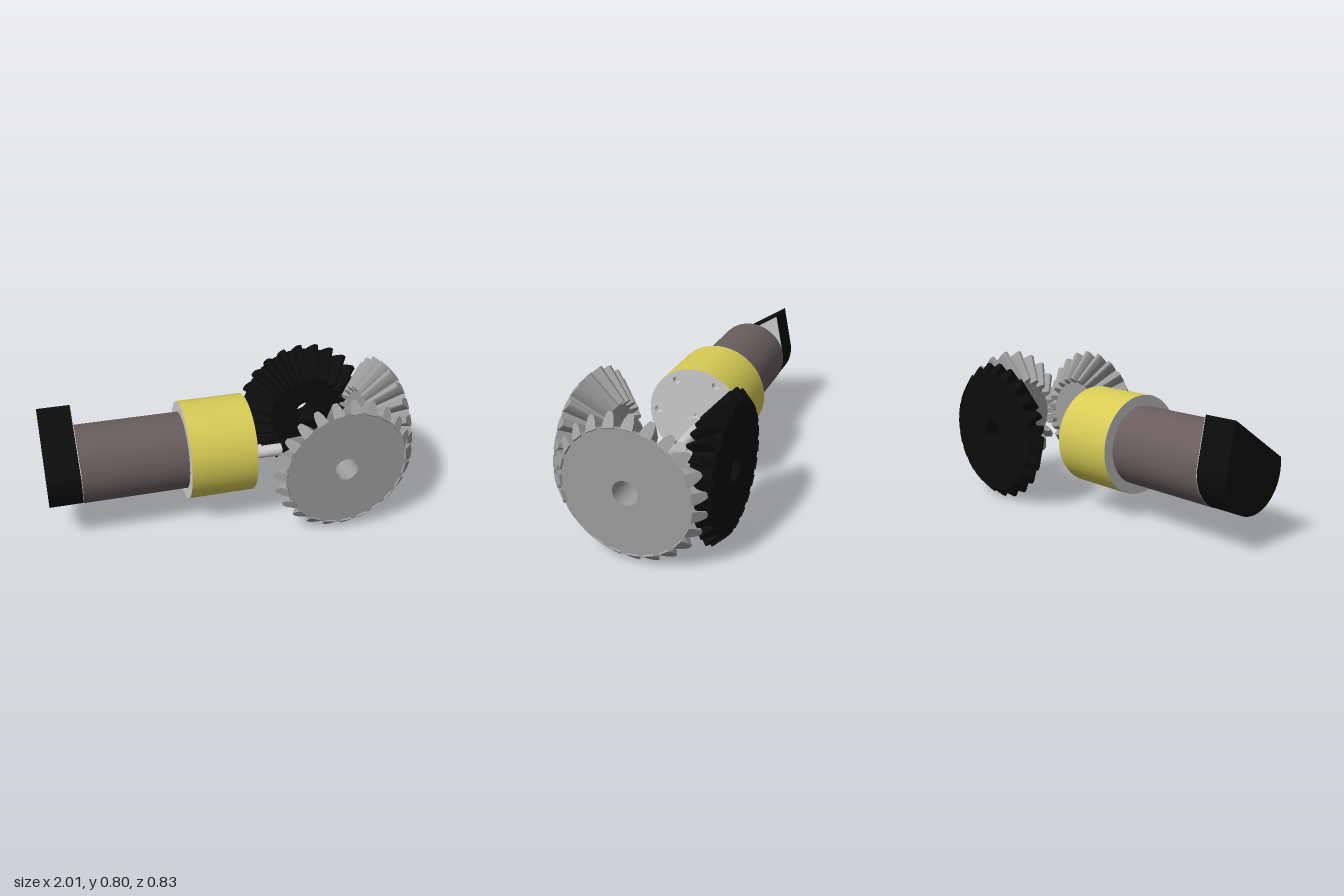
import * as THREE from 'three';
import { mergeGeometries, toCreasedNormals } from 'three/addons/utils/BufferGeometryUtils.js';

const mat = (color) => new THREE.MeshStandardMaterial({ color });
const TEETH = 23, ROOT = 0.35, BACK = 0.41, TOOTH = 0.05, INNER = 0.6, BORE = 0.067;

// Bevel gear about +y with its cone apex at the origin
function gearGeometry(phase) {
  const profile = [
    [BORE, BACK * INNER], [ROOT * INNER, BACK * INNER], [ROOT, BACK], [BORE, BACK], [BORE, BACK * INNER],
  ].map(([r, h]) => new THREE.Vector2(r, h));
  const blank = toCreasedNormals(new THREE.LatheGeometry(profile, 92), 0.5);

  // Tooth outline: half width against height, scaled toward the apex
  const half = [[0.031, -0.15], [0.03, 0.1], [0.026, 0.5], [0.018, 0.85], [0.011, 1]];
  const outline = [...half, ...half.map(([w, t]) => [-w, t]).reverse()].map(([w, t]) => new THREE.Vector2(w, t));
  const tooth = new THREE.ExtrudeGeometry(new THREE.Shape(outline), { depth: 1, bevelEnabled: false });
  const p = tooth.attributes.position;
  for (let i = 0; i < p.count; i++) {
    const w = p.getX(i), t = p.getY(i), s = INNER + (1 - INNER) * p.getZ(i);
    p.setXYZ(i, (ROOT + TOOTH * t) * s, (BACK - TOOTH * t) * s, w * s);
  }
  tooth.computeVertexNormals();

  const parts = [blank];
  for (let i = 0; i < TEETH; i++) {
    parts.push(tooth.clone().rotateY(phase + (i * 2 * Math.PI) / TEETH));
  }
  return mergeGeometries(parts);
}

export function createModel() {
  const model = new THREE.Group();
  const grey = mat(0xcccccc), gearGrey = mat(0x9d9d9d), black = mat(0x0c0c0c);
  const brown = mat(0x695d5d), yellow = mat(0xd6cb55);

  const add = (parent, name, geometry, material) => {
    const mesh = new THREE.Mesh(geometry, material);
    mesh.name = name;
    parent.add(mesh);
    return mesh;
  };

  // Three meshing bevel gears sharing one apex
  const gears = new THREE.Group();
  gears.name = 'bevelGears';
  gears.position.set(0.592, 0.402, 0);
  model.add(gears);
  add(gears, 'frontGear', gearGeometry(Math.PI), gearGrey).rotation.x = Math.PI / 2;
  add(gears, 'backGear', gearGeometry(0), black).rotation.x = -Math.PI / 2;
  const endGear = add(gears, 'endGear', gearGeometry(-Math.PI / 2), gearGrey);
  endGear.rotation.z = -Math.PI / 2;
  endGear.position.z = -0.0075;

  // Motor, lying along x
  const motor = new THREE.Group();
  motor.name = 'motor';
  motor.position.set(0, 0.405, -0.011);
  model.add(motor);

  const rod = (name, r, x0, x1, material, y = 0, open = false) => {
    const g = new THREE.CylinderGeometry(r, r, x1 - x0, 64, 1, open).rotateZ(-Math.PI / 2);
    add(motor, name, g, material).position.set((x0 + x1) / 2, y, 0);
  };
  const slab = (name, shape, x0, x1, material) => {
    const g = new THREE.ExtrudeGeometry(shape, { depth: x1 - x0, bevelEnabled: false, curveSegments: 48 });
    add(motor, name, toCreasedNormals(g.rotateY(Math.PI / 2), 0.5), material).position.x = x0;
  };

  // Rear cover: round below, tapering to a flat top
  const cover = new THREE.Shape();
  cover.moveTo(-0.16, 0.285);
  cover.absarc(0, 0, 0.215, Math.PI - 0.206, 2 * Math.PI + 0.206, false);
  cover.lineTo(0.16, 0.285);
  cover.closePath();
  slab('rearCover', cover, -1, -0.819, black);
  slab('rearCoverPlate', cover, -0.819, -0.815, grey);

  rod('motorBody', 0.217, -0.815, -0.235, brown);

  // Gearbox sleeve with plain ends
  rod('gearboxSleeve', 0.277, -0.235, 0.135, yellow, 0, true);
  rod('gearboxCore', 0.2765, -0.235, 0.1, grey);
  const face = new THREE.Shape();
  face.absarc(0, 0, 0.2765, 0, 2 * Math.PI, false);
  const hole = (x, y, r) => {
    const path = new THREE.Path();
    path.absarc(x, y, r, 0, 2 * Math.PI, true);
    face.holes.push(path);
  };
  hole(0, 0, 0.01);
  for (let i = 0; i < 6; i++) {
    const a = (i * Math.PI) / 3;
    hole(0.23 * Math.cos(a), 0.23 * Math.sin(a), 0.021);
  }
  slab('gearboxFace', face, 0.1, 0.135, grey);

  // Offset output shaft
  rod('shaftBoss', 0.083, 0.13, 0.146, grey, -0.09);
  rod('outputShaft', 0.036, 0.14, 0.355, grey, -0.09);

  return model;
}
